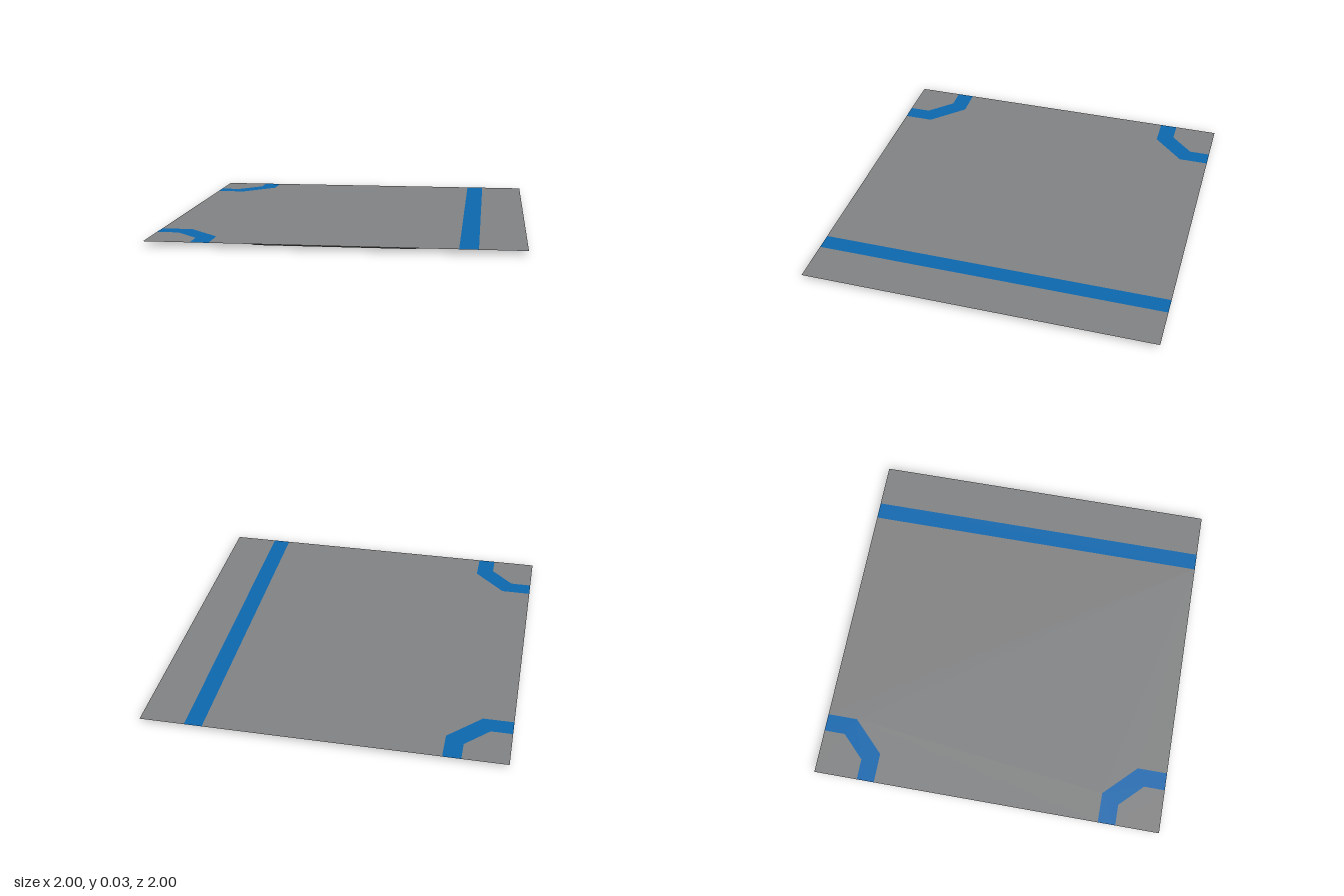
import * as THREE from 'three';

const TOP = 0.025, BODY = 0.009;

// Flat horizontal face from [x, z] points
function flatFace(name, points, material) {
  const shape = new THREE.Shape(points.map(([x, z]) => new THREE.Vector2(x, -z)));
  const mesh = new THREE.Mesh(new THREE.ShapeGeometry(shape).rotateX(-Math.PI / 2), material);
  mesh.position.y = TOP;
  mesh.name = name;
  return mesh;
}

// Move every edge of a counter-clockwise outline inwards by d
function inset(pts, d) {
  return pts.map((p, i) => {
    const a = pts[(i + pts.length - 1) % pts.length], b = pts[(i + 1) % pts.length];
    const u = p.clone().sub(a).normalize(), v = b.clone().sub(p).normalize();
    const n = new THREE.Vector2(-u.y - v.y, u.x + v.x);
    return p.clone().addScaledVector(n, d / (1 + u.dot(v)));
  });
}

// Downward-facing slab with sloping sides, open at the top
function bevelledSlab(name, points, yTop, yBottom, bevel, material) {
  const upper = points.map(([x, z]) => new THREE.Vector2(x, z));
  if (THREE.ShapeUtils.isClockWise(upper)) upper.reverse();
  const lower = inset(upper, bevel);
  const pos = [];
  const put = (p, y) => pos.push(p.x, y, p.y);
  upper.forEach((a, i) => {
    const j = (i + 1) % upper.length;
    put(a, yTop); put(upper[j], yTop); put(lower[j], yBottom);
    put(a, yTop); put(lower[j], yBottom); put(lower[i], yBottom);
  });
  for (const tri of THREE.ShapeUtils.triangulateShape(lower, [])) {
    tri.forEach((k) => put(lower[k], yBottom));
  }
  const geometry = new THREE.BufferGeometry();
  geometry.setAttribute('position', new THREE.Float32BufferAttribute(pos, 3));
  geometry.computeVertexNormals();
  const mesh = new THREE.Mesh(geometry, material);
  mesh.name = name;
  return mesh;
}

export function createModel() {
  const group = new THREE.Group();
  group.name = 'floorTile';
  const grey = new THREE.MeshStandardMaterial({ name: 'grey', color: 0x838485, side: THREE.DoubleSide });
  const blue = new THREE.MeshStandardMaterial({ name: 'blue', color: 0x0d69b1, side: THREE.DoubleSide });
  const mirrorZ = (pts) => pts.map(([x, z]) => [x, -z]);

  // Top surface, divided by the painted lines
  const outer = [[-1, 0.65], [-0.83, 0.65], [-0.65, 0.83], [-0.65, 1]];
  const inner = [[-0.75, 1], [-0.75, 0.88], [-0.88, 0.75], [-1, 0.75]];
  group.add(
    flatFace('mainSurface', [...outer, [0.65, 1], [0.65, -1], ...mirrorZ(outer).reverse()], grey),
    flatFace('straightLine', [[0.65, 1], [0.75, 1], [0.75, -1], [0.65, -1]], blue),
    flatFace('sideSurface', [[0.75, 1], [1, 1], [1, -1], [0.75, -1]], grey));
  for (const side of [(p) => p, mirrorZ]) {
    group.add(
      flatFace('cornerLine', side([...outer, ...inner]), blue),
      flatFace('cornerSurface', side([...inner, [-1, 1]]), grey));
  }

  // T-shaped underside slab with clipped corners
  const half = [[0.49, 0.92], [0.43, 0.98], [-0.43, 0.98], [-0.48, 0.93], [-0.48, 0.56],
    [-0.56, 0.48], [-0.93, 0.48], [-0.98, 0.43]];
  group.add(bevelledSlab('undersideSlab', [...half, ...mirrorZ(half).reverse()], TOP, BODY, 0.03, grey));

  // Triangular feet, each with its square corner pointing outwards
  const leg = 0.26;
  for (const [x, z] of [[0.41, 0.89], [-0.4, 0.89], [-0.89, 0.38]]) {
    const foot = [[x, z], [x - Math.sign(x) * leg, z], [x, z - leg]];
    for (const pts of [foot, mirrorZ(foot)]) {
      group.add(bevelledSlab('foot', pts, BODY, 0, 0.015, grey));
    }
  }
  return group;
}
